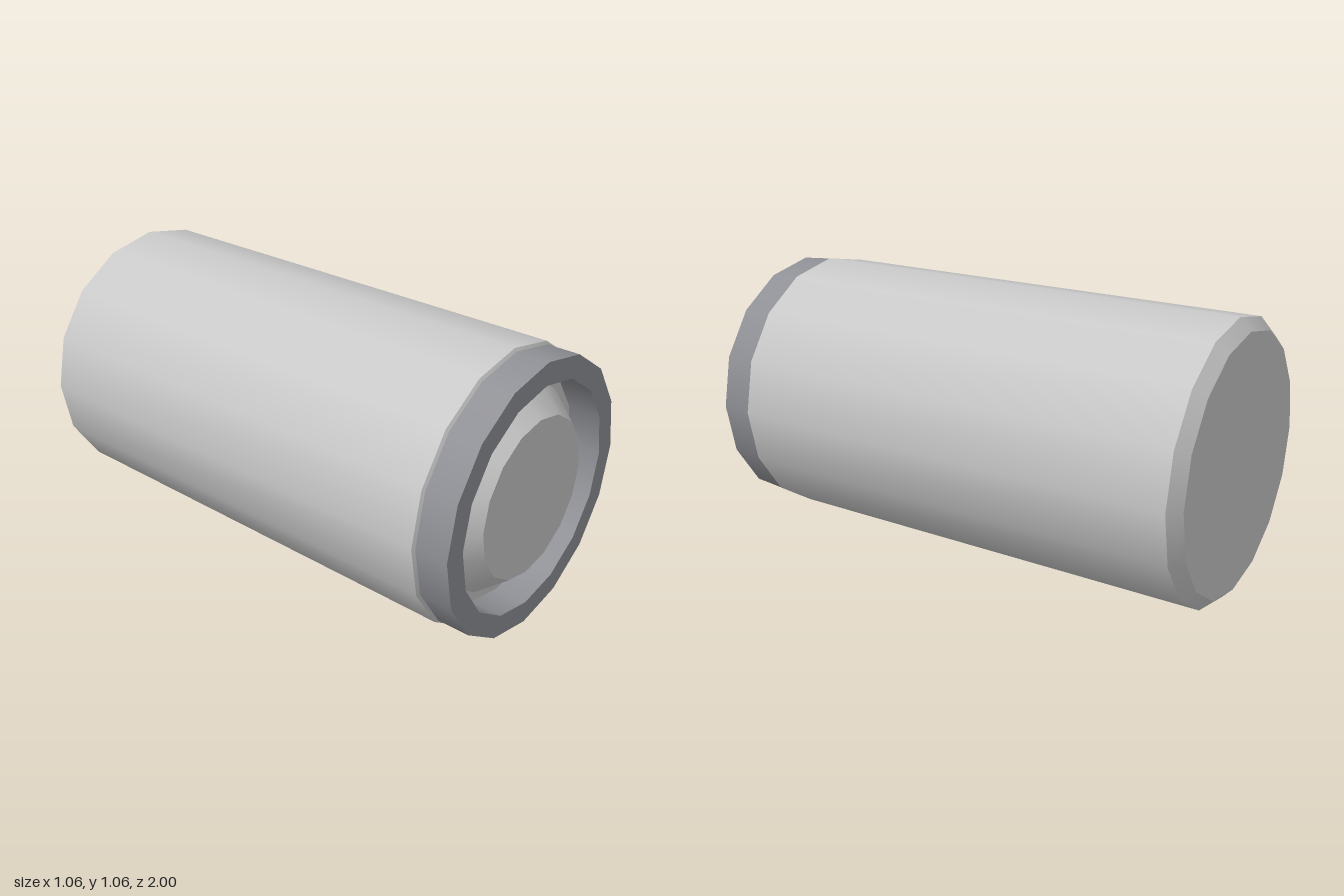
import * as THREE from 'three';
import { mergeGeometries } from 'three/addons/utils/BufferGeometryUtils.js';

const SIDES = 16;
const RADIUS = 0.532;

const shellGrey = new THREE.MeshStandardMaterial({ color: 0xcacaca });
shellGrey.name = 'shellGrey';
const rimGrey = new THREE.MeshStandardMaterial({ color: 0x919297 });
rimGrey.name = 'rimGrey';

// Turns a [radius, z] profile around the z axis: smooth around, sharp between bands
function turned(name, profile, material) {
  const bands = [];
  for (let i = 0; i < profile.length - 1; i++) {
    const pair = [profile[i], profile[i + 1]].map(([r, z]) => new THREE.Vector2(r, z));
    bands.push(new THREE.LatheGeometry(pair, SIDES));
  }
  const geometry = mergeGeometries(bands);
  geometry.rotateX(Math.PI / 2);
  const mesh = new THREE.Mesh(geometry, material);
  mesh.name = name;
  return mesh;
}

export function createModel() {
  const model = new THREE.Group();
  model.name = 'canister';

  // Main barrel: chamfered back end, small front chamfer, floor behind the rim
  model.add(turned('barrel', [
    [0, -1], [0.487, -1], [RADIUS, -0.957], [RADIUS, 0.867], [0.521, 0.875], [0, 0.875],
  ], shellGrey));

  // Darker open ring on the front end
  model.add(turned('frontRim', [
    [0.521, 0.873], [0.521, 1], [0.435, 1], [0.435, 0.873],
  ], rimGrey));

  // Tapered plug set inside the ring
  model.add(turned('frontPlug', [
    [0.4, 0.874], [0.305, 0.99], [0, 0.99],
  ], shellGrey));

  model.position.y = RADIUS;
  return model;
}
